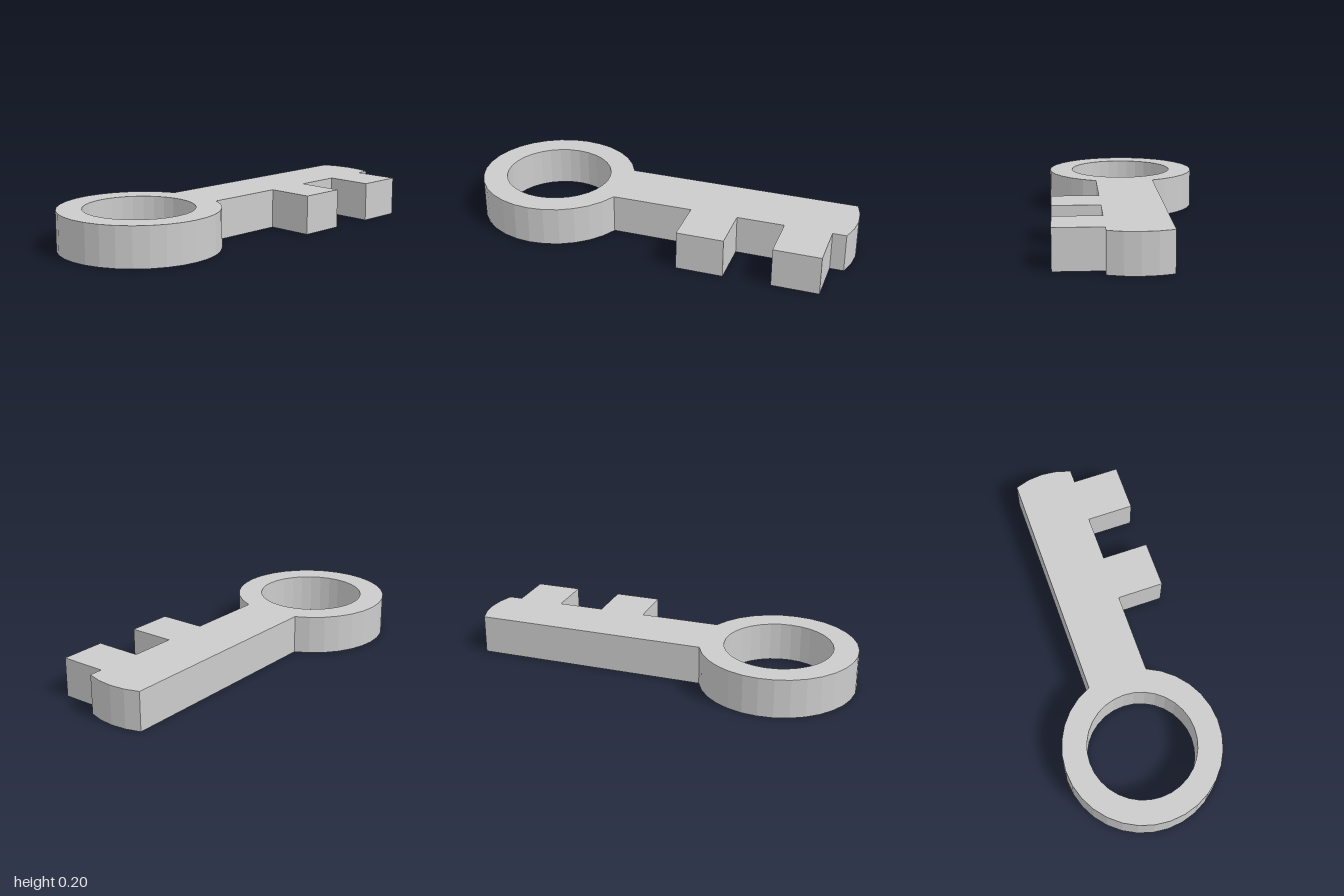
import * as THREE from 'three';

const THICKNESS = 0.2;
const RADIUS = 0.4;            // bow ring and rounded tip share this radius
const HOLE_RADIUS = 0.275;
const CENTRE = 0.6;            // bow at -x, tip arc centred at +x
const STEP = Math.PI / 16;     // 32-sided circles
const TOOTH_END = 0.392;
const TEETH = [[0.9, 0.662], [0.422, 0.183]];

// Points on a circle, from step index a to b inclusive
function arc(cx, radius, a, b) {
  const points = [];
  for (let i = a; i <= b; i++) {
    points.push(new THREE.Vector2(cx + radius * Math.cos(i * STEP), radius * Math.sin(i * STEP)));
  }
  return points;
}

export function createModel() {
  const group = new THREE.Group();
  group.name = 'key';
  const shaftHalf = RADIUS * Math.sin(2 * STEP);

  // Outline: bow ring, shaft, rounded tip, then the two teeth back to the bow
  const outline = [...arc(-CENTRE, RADIUS, 2, 30), ...arc(CENTRE, RADIUS, -2, 2)];
  for (const [outer, inner] of TEETH) {
    outline.push(
      new THREE.Vector2(outer, shaftHalf),
      new THREE.Vector2(outer, TOOTH_END),
      new THREE.Vector2(inner, TOOTH_END),
      new THREE.Vector2(inner, shaftHalf)
    );
  }
  const shape = new THREE.Shape(outline);

  // Finger hole through the bow
  shape.holes.push(new THREE.Path(arc(-CENTRE, HOLE_RADIUS, 0, 31).reverse()));

  // Lay the plate flat: outline y becomes z, thickness becomes height
  const geometry = new THREE.ExtrudeGeometry(shape, { depth: THICKNESS, bevelEnabled: false });
  geometry.rotateX(Math.PI / 2).translate(0, THICKNESS, 0);

  const body = new THREE.Mesh(
    geometry,
    new THREE.MeshStandardMaterial({ color: 0xcccccc, flatShading: true })
  );
  body.name = 'keyBody';
  group.add(body);
  return group;
}
